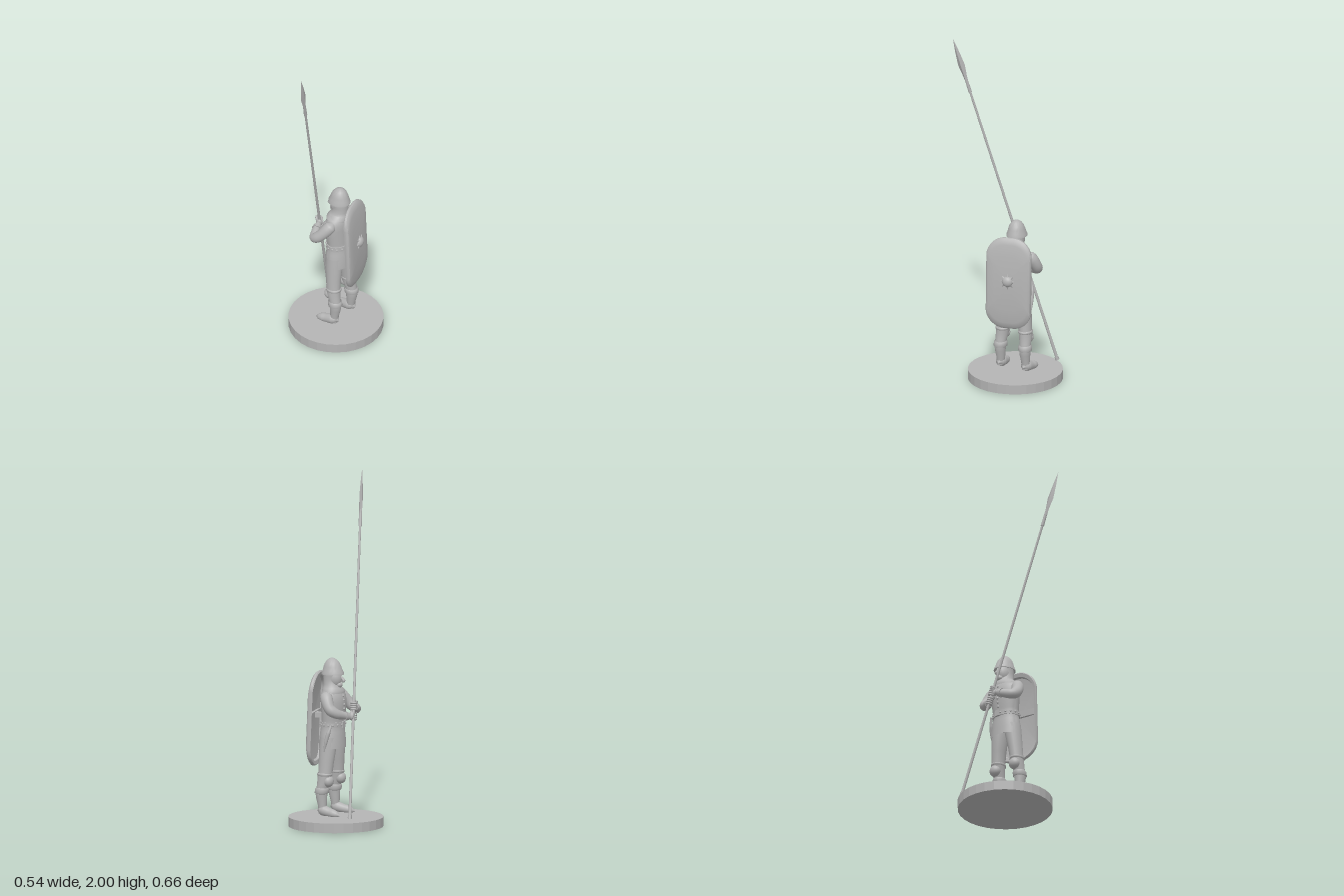
import * as THREE from 'three';
import { toCreasedNormals } from 'three/addons/utils/BufferGeometryUtils.js';

const V = (x, y, z) => new THREE.Vector3(x, y, z);
const MID = -0.068; // z of the figure's own centre line; the figure faces -x

// Skin a list of closed rings of points, ordered upwards
function skin(rings) {
  const n = rings[0].length, index = [];
  for (let i = 0; i < rings.length - 1; i++) {
    for (let j = 0; j < n; j++) {
      const a = i * n + j, b = i * n + (j + 1) % n;
      index.push(a, a + n, b, b, a + n, b + n);
    }
  }
  const g = new THREE.BufferGeometry().setFromPoints(rings.flat());
  g.setIndex(index);
  g.computeVertexNormals();
  return g;
}

// Elliptical cross-sections [y, cx, cz, rx, rz] stacked along y
const loft = (sections, n = 28) => skin(sections.map(([y, cx, cz, rx, rz]) =>
  Array.from({ length: n }, (_, j) => {
    const a = j / n * Math.PI * 2;
    return V(cx + rx * Math.cos(a), y, cz + rz * Math.sin(a));
  })));

// Round limb along a curve with radii spread evenly over its length
function limb(points, radii, n = 14, steps = 28) {
  const curve = new THREE.CatmullRomCurve3(points.map(p => V(...p)));
  const f = curve.computeFrenetFrames(steps);
  const rings = [];
  for (let i = 0; i <= steps; i++) {
    const t = i / steps * (radii.length - 1), k = Math.min(Math.floor(t), radii.length - 2);
    const r = THREE.MathUtils.lerp(radii[k], radii[k + 1], t - k), p = curve.getPointAt(i / steps);
    rings.push(Array.from({ length: n }, (_, j) => {
      const a = j / n * Math.PI * 2;
      return p.clone().addScaledVector(f.binormals[i], r * Math.cos(a)).addScaledVector(f.normals[i], r * Math.sin(a));
    }));
  }
  return skin(rings);
}

const ball = (x, y, z, rx, ry = rx, rz = rx) =>
  new THREE.SphereGeometry(1, 20, 14).scale(rx, ry, rz).translate(x, y, z);

export function createModel() {
  const model = new THREE.Group();
  const grey = new THREE.MeshStandardMaterial({ color: 0xb4b4b4 });
  grey.name = 'grey';
  const add = (name, geometry, parent = model) => {
    const mesh = new THREE.Mesh(geometry, grey);
    mesh.name = name;
    parent.add(mesh);
    return mesh;
  };

  // Round base
  add('base', toCreasedNormals(new THREE.CylinderGeometry(0.271, 0.271, 0.055, 30), 0.1).translate(0, 0.0275, -0.06));

  // Legs with boots, knee pads and straps
  for (const s of [1, -1]) {
    const z = d => MID + s * d;
    add('leg', loft([
      [0.08, 0.042, z(0.082), 0.02, 0.02], [0.13, 0.042, z(0.08), 0.026, 0.025], [0.17, 0.047, z(0.08), 0.032, 0.03],
      [0.21, 0.048, z(0.08), 0.036, 0.034], [0.24, 0.04, z(0.078), 0.034, 0.033], [0.28, 0.03, z(0.075), 0.042, 0.037],
      [0.32, 0.027, z(0.071), 0.042, 0.037], [0.38, 0.024, z(0.065), 0.045, 0.04], [0.46, 0.02, z(0.054), 0.05, 0.046],
      [0.52, 0.018, z(0.05), 0.05, 0.045]], 20));
    add('bootCuff', loft([
      [0.195, 0.046, z(0.08), 0.034, 0.033], [0.2, 0.046, z(0.08), 0.041, 0.039], [0.222, 0.044, z(0.079), 0.041, 0.039],
      [0.23, 0.042, z(0.079), 0.033, 0.033]], 20));
    add('kneePad', ball(0.005, 0.268, z(0.076), 0.03, 0.034, 0.034));
    add('kneeStrap', loft([
      [0.297, 0.03, z(0.073), 0.036, 0.034], [0.301, 0.03, z(0.073), 0.046, 0.041], [0.312, 0.029, z(0.073), 0.046, 0.041],
      [0.316, 0.029, z(0.073), 0.036, 0.034]], 20));
    const foot = limb([[0.072, 0.095, z(0.08)], [0.05, 0.1, z(0.081)], [0.0, 0.09, z(0.085)], [-0.045, 0.082, z(0.091)], [-0.077, 0.077, z(0.095)]],
      [0.002, 0.026, 0.031, 0.029, 0.026, 0.025, 0.019, 0.002]);
    const p = foot.attributes.position;
    for (let i = 0; i < p.count; i++) p.setY(i, Math.max(p.getY(i), 0.07)); // flat sole
    foot.computeVertexNormals();
    add('boot', foot);
  }

  // Padded tunic with a skirt
  add('tunic', toCreasedNormals(loft([
    [0.49, 0.018, MID, 0.001, 0.001], [0.475, 0.018, MID, 0.06, 0.085], [0.455, 0.018, MID, 0.072, 0.098], [0.5, 0.018, MID, 0.07, 0.095],
    [0.55, 0.017, MID, 0.065, 0.088], [0.585, 0.016, MID, 0.06, 0.08], [0.62, 0.014, MID, 0.062, 0.084],
    [0.67, 0.011, MID, 0.065, 0.09], [0.72, 0.01, MID, 0.066, 0.096], [0.755, 0.013, MID, 0.063, 0.094],
    [0.78, 0.016, MID, 0.055, 0.08], [0.8, 0.018, MID, 0.045, 0.058], [0.815, 0.018, MID, 0.03, 0.035]], 36), 0.9));
  add('belt', toCreasedNormals(loft([
    [0.575, 0.016, MID, 0.058, 0.078], [0.575, 0.016, MID, 0.067, 0.087], [0.605, 0.015, MID, 0.067, 0.087], [0.605, 0.015, MID, 0.058, 0.078]], 36), 0.6));
  add('buckle', new THREE.BoxGeometry(0.012, 0.036, 0.03).translate(-0.052, 0.59, MID));
  for (let i = 0; i < 16; i++) {
    const a = (i + 0.5) / 16 * Math.PI * 2;
    add('beltStud', ball(0.0155 + 0.067 * Math.cos(a), 0.59, MID + 0.087 * Math.sin(a), 0.006));
  }
  for (let i = 0; i < 6; i++) add('button', ball(-0.048 - 0.008 * Math.sin(i * 0.6), 0.63 + i * 0.025, MID, 0.007));
  add('dagger', limb([[-0.02, 0.6, MID - 0.085], [0.0, 0.53, MID - 0.1], [0.02, 0.44, MID - 0.106]], [0.004, 0.012, 0.01, 0.003], 10));

  // Head, hood and helmet
  const HZ = -0.076;
  add('head', ball(0.006, 0.853, HZ, 0.05, 0.06, 0.043));
  add('chin', ball(-0.028, 0.818, HZ, 0.02, 0.018, 0.022));
  add('nose', limb([[-0.038, 0.872, HZ], [-0.048, 0.855, HZ], [-0.058, 0.842, HZ], [-0.04, 0.836, HZ]], [0.004, 0.007, 0.01, 0.002], 10));
  add('hood', loft([
    [0.77, 0.012, MID, 0.062, 0.08], [0.785, 0.012, MID, 0.062, 0.078], [0.8, 0.014, HZ, 0.054, 0.06], [0.82, 0.018, HZ, 0.047, 0.048],
    [0.85, 0.022, HZ, 0.045, 0.047], [0.885, 0.018, HZ, 0.047, 0.048]]));
  add('helmet', toCreasedNormals(loft([
    [0.89, 0.012, HZ, 0.045, 0.042], [0.876, 0.012, HZ, 0.06, 0.054], [0.876, 0.012, HZ, 0.066, 0.059], [0.885, 0.012, HZ, 0.065, 0.058],
    [0.9, 0.013, HZ, 0.058, 0.052], [0.92, 0.014, HZ, 0.052, 0.047], [0.94, 0.015, HZ, 0.043, 0.04],
    [0.957, 0.016, HZ, 0.03, 0.028], [0.967, 0.017, HZ, 0.015, 0.014], [0.971, 0.017, HZ, 0.0005, 0.0005]], 32), 0.8));

  // Arms reaching forward to the spear
  const arms = [
    [[0.03, 0.775, 0.0], [0.012, 0.745, 0.025], [-0.03, 0.69, 0.058], [-0.065, 0.665, 0.06], [-0.088, 0.675, 0.015], [-0.102, 0.69, -0.03]],
    [[0.025, 0.775, -0.14], [0.005, 0.745, -0.168], [-0.025, 0.69, -0.185], [-0.055, 0.665, -0.168], [-0.08, 0.65, -0.125], [-0.105, 0.64, -0.09]],
  ];
  for (const path of arms) {
    add('sleeve', limb(path, [0.004, 0.034, 0.036, 0.034, 0.032, 0.032, 0.029, 0.026, 0.024, 0.021, 0.016], 18));
    const [a, b] = path.slice(-2).map(p => V(...p));
    const cuff = add('cuff', new THREE.CylinderGeometry(0.021, 0.027, 0.022, 18));
    cuff.position.copy(a).lerp(b, 0.55);
    cuff.quaternion.setFromUnitVectors(V(0, 1, 0), b.sub(a).normalize());
  }

  // Long leaning spear
  const foot = V(-0.178, 0.08, -0.235), tip = V(0.032, 2, 0.327), dir = tip.clone().sub(foot), L = dir.length();
  const spear = new THREE.Group();
  spear.name = 'spear';
  spear.position.copy(foot);
  spear.quaternion.setFromUnitVectors(V(0, 1, 0), dir.normalize());
  model.add(spear);
  add('shaft', new THREE.CylinderGeometry(0.0065, 0.0085, L - 0.3, 12).translate(0, (L - 0.3) / 2, 0), spear);
  add('buttCap', new THREE.CylinderGeometry(0.0115, 0.0115, 0.018, 12).translate(0, 0.01, 0), spear);
  add('socket', new THREE.CylinderGeometry(0.008, 0.01, 0.1, 12).translate(0, L - 0.28, 0), spear);
  add('blade', toCreasedNormals(loft([
    [L - 0.28, 0, 0, 0.008, 0.008], [L - 0.22, 0, 0, 0.01, 0.014], [L - 0.16, 0, 0, 0.01, 0.023],
    [L - 0.08, 0, 0, 0.007, 0.014], [L, 0, 0, 0.0005, 0.0005]], 4), 0.3), spear);

  // Hands wrapped round the shaft
  for (const [at, turn] of [[0.59, 1.1], [0.645, -1.1]]) {
    const hand = new THREE.Group();
    hand.name = 'hand';
    hand.position.y = at;
    hand.rotation.y = turn;
    spear.add(hand);
    add('palm', ball(0.014, 0, 0, 0.013, 0.024, 0.018), hand);
    for (let i = 0; i < 4; i++) {
      add('finger', new THREE.TorusGeometry(0.015, 0.0062, 8, 16, 4.6).rotateX(Math.PI / 2).translate(0, -0.018 + i * 0.012, 0), hand);
    }
    add('thumb', limb([[0.014, 0.02, 0.01], [0, 0.028, 0.016], [-0.018, 0.026, 0.014]], [0.005, 0.008, 0.007, 0.002], 8, 10), hand);
  }

  // Bowed shield carried behind the back: local x is up, local y faces out
  const shield = new THREE.Group();
  shield.name = 'shield';
  const out = V(0.976, 0.04, -0.217).normalize(), side = V(0, 1, 0).cross(out).normalize(), up = out.clone().cross(side);
  shield.quaternion.setFromRotationMatrix(new THREE.Matrix4().makeBasis(up, out, side));
  shield.position.set(0.145, 0.618, -0.088);
  model.add(shield);
  const H = 0.271, W = 0.133, R = 0.11, N = 48;
  const shieldRing = ([s, d]) => Array.from({ length: N }, (_, j) => {
    const a = (j + 0.5) / N * Math.PI * 2, c = Math.cos(a), k = Math.sin(a);
    const x = s * (c * R + Math.sign(c) * (H - R)), z = s * (k * R + Math.sign(k) * (W - R));
    return V(x, d - 0.018 * (x / H) ** 2, z);
  });
  add('shieldBoard', toCreasedNormals(skin([
    [0, -0.012], [0.4, -0.012], [0.7, -0.013], [0.88, -0.015], [0.9, -0.028], [0.98, -0.03], [1, -0.024],
    [1, -0.012], [0.96, -0.004], [0.86, 0], [0.6, 0.001], [0.3, 0.002], [0, 0.002]].map(shieldRing)), 0.6), shield);
  add('boss', ball(0.02, 0.003, 0, 0.031, 0.022, 0.031), shield);
  for (let i = 0; i < 8; i++) {
    const spike = new THREE.ConeGeometry(0.009, 0.02, 6).rotateZ(-Math.PI / 2).translate(0.036, 0.003, 0).rotateY(i * Math.PI / 4);
    add('bossPoint', spike.translate(0.02, 0, 0), shield);
  }
  add('grip', new THREE.BoxGeometry(0.038, 0.016, 0.235).translate(0.02, -0.02, 0), shield);
  add('carryStrap', new THREE.BoxGeometry(0.03, 0.06, 0.04).translate(0.02, -0.04, 0), shield);
  return model;
}
